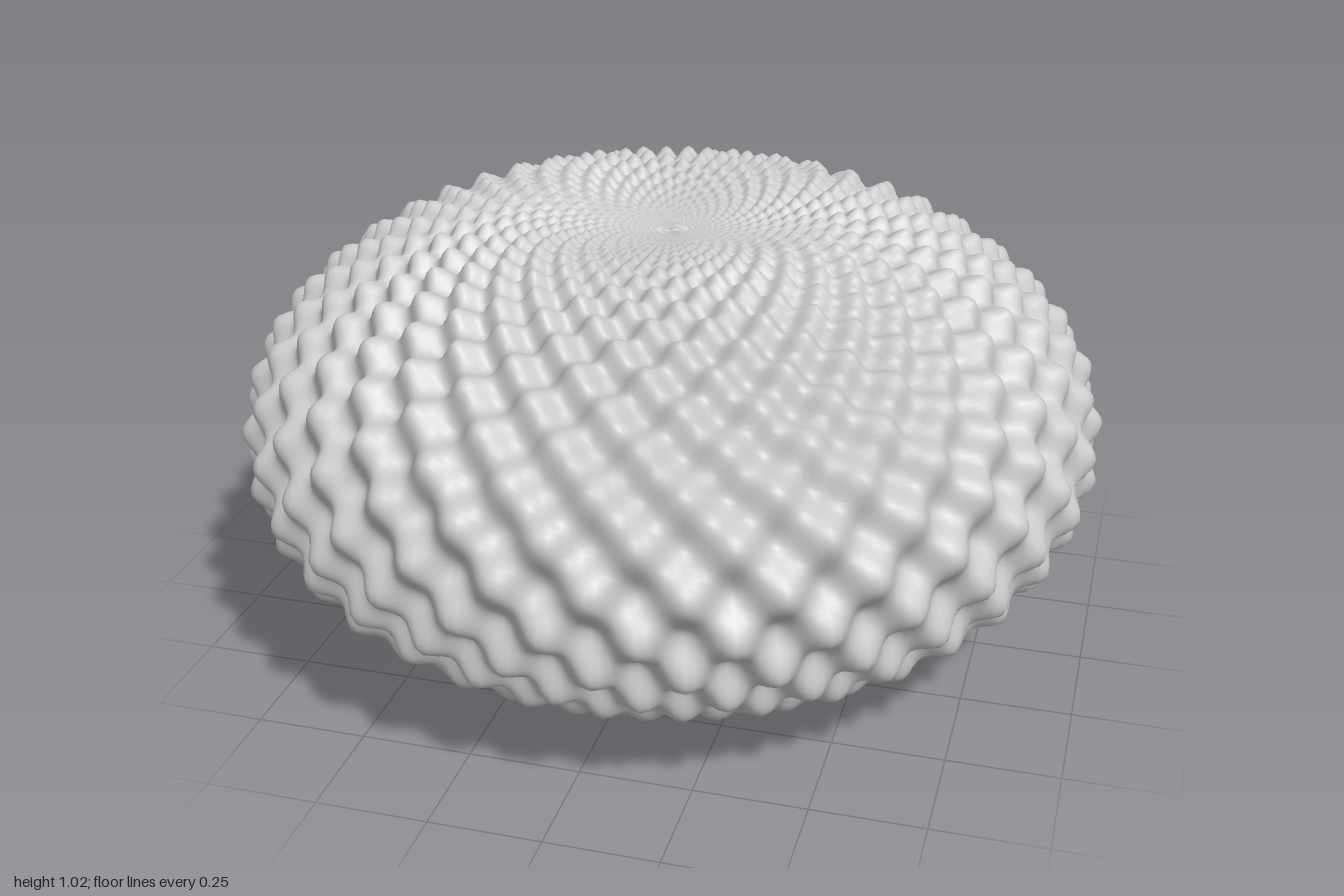
import * as THREE from 'three';
import { mergeVertices } from 'three/addons/utils/BufferGeometryUtils.js';

const AROUND = 32;      // knobs in each ring
const SEGMENTS = 320;
const STEPS = 190;
const HOLE = 0.2;

// Flattened body, from the rim of the hole underneath to the shallow dimple on top
const PROFILE = [
  [HOLE, 0], [0.4, 0.025], [0.6, 0.085], [0.8, 0.2], [0.92, 0.35], [0.966, 0.52],
  [0.925, 0.69], [0.81, 0.825], [0.61, 0.95], [0.4, 1.005], [0.2, 0.99], [0, 0.97],
].map(([r, y]) => new THREE.Vector2(r, y));

// Lathe whose vertices are pushed along the normal into staggered rings of knobs
function knobbedShell() {
  const points = new THREE.SplineCurve(PROFILE).getSpacedPoints(STEPS);
  points[STEPS].x = 0;
  const rows = [];
  let phase = 0;
  points.forEach((p, j) => {
    // ring spacing shrinks with the radius, so the knobs stay round
    if (j > 0) phase += (AROUND * p.distanceTo(points[j - 1])) / (p.x + 0.06);
    const fade = p.y < 0.52
      ? THREE.MathUtils.smoothstep(p.y, 0, 0.36)
      : THREE.MathUtils.smoothstep(p.x, -0.1, 0.75);
    rows.push({ phase, height: 0.033 * fade });
  });

  const geometry = new THREE.LatheGeometry(points, SEGMENTS);
  const position = geometry.attributes.position;
  const normal = geometry.attributes.normal;
  const v = new THREE.Vector3(), n = new THREE.Vector3();
  for (let i = 0; i < position.count; i++) {
    const { phase: rowPhase, height } = rows[i % points.length];
    const angle = (Math.floor(i / points.length) % SEGMENTS) / SEGMENTS * Math.PI * 2;
    const bump = Math.cos(AROUND * angle) * Math.cos(rowPhase);
    v.fromBufferAttribute(position, i);
    n.fromBufferAttribute(normal, i);
    if (points[i % points.length].x > 0) v.addScaledVector(n, height * bump);
    position.setXYZ(i, v.x, v.y, v.z);
  }

  // weld the seam so the shading is continuous
  geometry.deleteAttribute('uv');
  geometry.deleteAttribute('normal');
  const welded = mergeVertices(geometry, 1e-5);
  welded.computeVertexNormals();
  return welded;
}

export function createModel() {
  const group = new THREE.Group();
  group.name = 'knobbedOrnament';
  const material = new THREE.MeshStandardMaterial({ color: 0xcccccc });
  const inner = new THREE.MeshStandardMaterial({ color: 0xcccccc, side: THREE.DoubleSide });

  const shell = new THREE.Mesh(knobbedShell(), material);
  shell.name = 'knobbedShell';
  group.add(shell);

  // Smooth blind hole in the underside
  const depth = 0.9;
  const wall = new THREE.Mesh(new THREE.CylinderGeometry(HOLE, HOLE, depth, 96, 1, true), inner);
  wall.name = 'holeWall';
  wall.position.y = depth / 2;
  const end = new THREE.Mesh(new THREE.CircleGeometry(HOLE, 96), inner);
  end.name = 'holeEnd';
  end.rotation.x = Math.PI / 2;
  end.position.y = depth;
  group.add(wall, end);

  return group;
}
